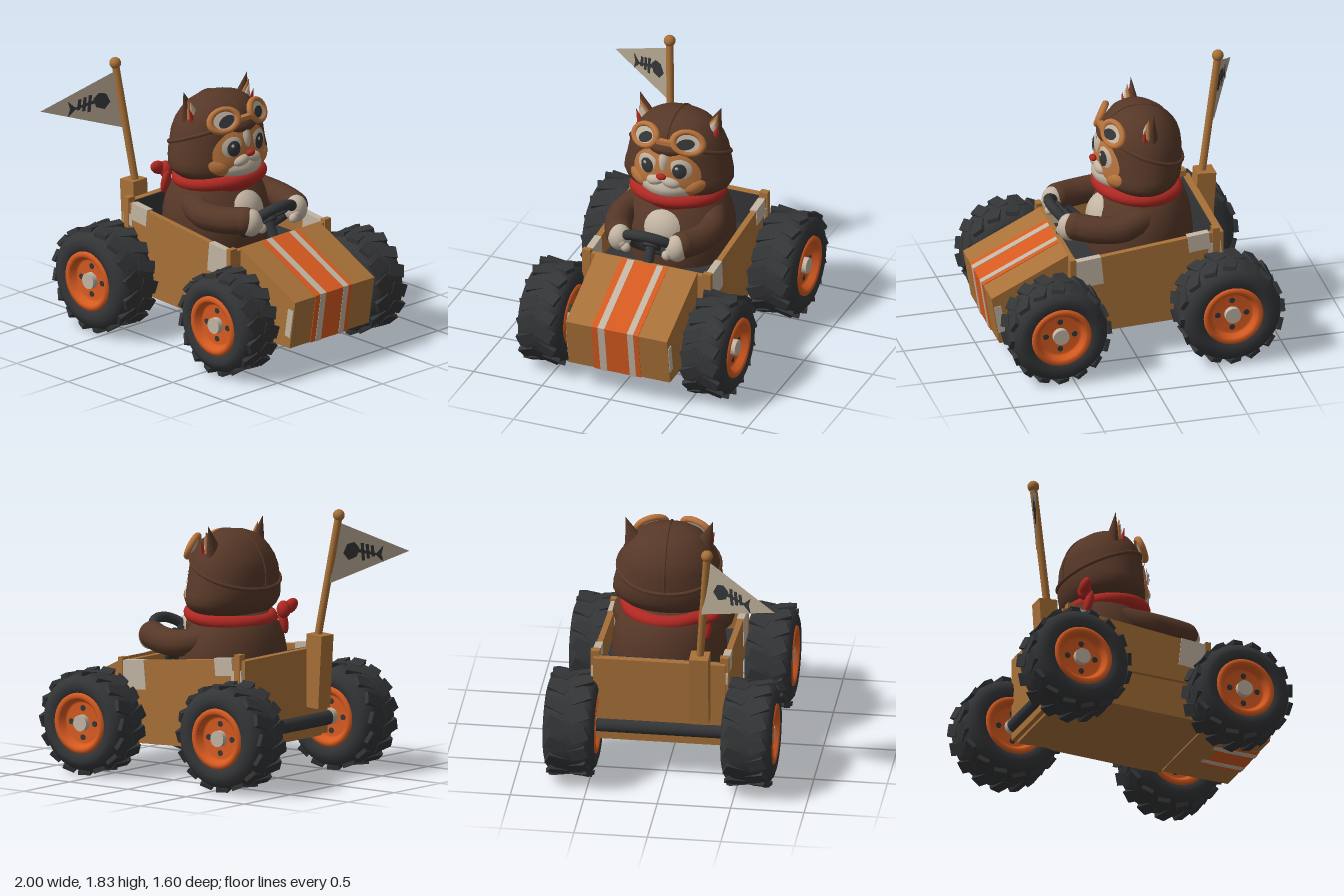
import * as THREE from 'three';

const mat = (name, color, side = THREE.FrontSide) => {
  const m = new THREE.MeshStandardMaterial({ color });
  m.name = name; m.side = side;
  return m;
};
const CZ = -0.03; // centre line of the driver

export function createModel() {
  const card = mat('cardboard', 0xa87138), brown = mat('brown fur suit', 0x573828);
  const dark = mat('dark rubber', 0x343537), orange = mat('orange paint', 0xd65a20);
  const cream = mat('cream', 0xc2b4a2), red = mat('red cloth', 0xb02822);
  const fur = mat('ginger fur', 0xb8733c), cloth = mat('flag cloth', 0xb5a792, THREE.DoubleSide);
  const root = new THREE.Group();

  const add = (name, geo, m, p = [0, 0, 0], r = [0, 0, 0], s = [1, 1, 1], parent = root) => {
    const o = new THREE.Mesh(geo, m);
    o.name = name; o.position.set(...p); o.rotation.set(...r); o.scale.set(...s);
    parent.add(o);
    return o;
  };
  const box = (name, x, y, z, m, p, r, parent) => add(name, new THREE.BoxGeometry(x, y, z), m, p, r, undefined, parent);
  const ball = (name, m, p, s, r) => add(name, new THREE.SphereGeometry(1, 32, 20), m, p, r, s);
  const v = (a) => new THREE.Vector3(...a);
  const tube = (name, pts, rad, m, closed = false) =>
    add(name, new THREE.TubeGeometry(new THREE.CatmullRomCurve3(pts.map(v), closed), 48, rad, 12, closed), m);
  // side profile in x and y, extruded from z0 to z1
  const slab = (name, pts, z0, z1, m, parent = root) => {
    const shape = new THREE.Shape(pts.map((p) => new THREE.Vector2(...p)));
    return add(name, new THREE.ExtrudeGeometry(shape, { depth: z1 - z0, bevelEnabled: false }), m, [0, 0, z0], undefined, undefined, parent);
  };
  const mesh = (pos, idx) => {
    const g = new THREE.BufferGeometry();
    g.setAttribute('position', new THREE.Float32BufferAttribute(pos, 3));
    g.setIndex(idx); g.computeVertexNormals();
    return g;
  };
  // stacked elliptic sections [y, cx, rx, rz]
  const loft = (rings, n = 48) => {
    const pos = [], idx = [];
    rings.forEach(([y, cx, rx, rz], j) => {
      for (let i = 0; i < n; i++) {
        const a = (i / n) * Math.PI * 2, k = j * n + i, l = j * n + ((i + 1) % n);
        pos.push(cx + rx * Math.cos(a), y, CZ + rz * Math.sin(a));
        if (j < rings.length - 1) idx.push(k, k + n, l, l, k + n, l + n);
      }
    });
    return mesh(pos, idx);
  };

  // Cart body
  slab('lowerBody', [[-0.57, 0.25], [0.47, 0.21], [0.47, 0.48], [-0.57, 0.52]], -0.47, 0.39, card);
  for (const [z, side] of [[0.38, 'left'], [-0.5, 'right']]) {
    slab(side + 'Wall', [[-0.57, 0.5], [0.46, 0.47], [0.46, 0.77], [-0.57, 0.88]], z, z + 0.04, card);
    const c = z + 0.02;
    box('rearTape', 0.15, 0.12, 0.05, cream, [-0.43, 0.815, c], [0, 0, -0.1]);
    box('rearTapeLower', 0.09, 0.08, 0.05, cream, [-0.54, 0.76, c], [0, 0, -0.1]);
    box('frontTape', 0.21, 0.2, 0.05, cream, [0.35, 0.685, c], [0, 0, -0.1]);
    box('cornerPost', 0.05, 0.4, 0.06, card, [-0.55, 0.71, c]);
    box('cornerPost', 0.04, 0.32, 0.06, card, [0.45, 0.635, c]);
  }
  box('rearWall', 0.05, 0.6, 0.9, card, [-0.58, 0.57, -0.04]);
  box('dashWall', 0.04, 0.3, 0.88, card, [0.44, 0.62, -0.04]);
  box('cockpitFloor', 0.96, 0.06, 0.84, dark, [-0.06, 0.6, -0.04]);
  box('rearLining', 0.01, 0.3, 0.84, dark, [-0.548, 0.72, -0.04]);

  // Hood with painted stripes
  slab('hood', [[0.46, 0.2], [0.94, 0.19], [0.995, 0.53], [0.46, 0.79]], -0.41, 0.33, card);
  const stripe = (name, o, z0, z1, m) => slab(name,
    [[0.47, 0.21], [0.74, 0.195 - o], [0.94 + o, 0.19 - o], [0.995 + o, 0.53 + o], [0.47, 0.785 + o]], z0, z1, m);
  stripe('orangeStripe', 0.004, -0.2, 0.14, orange);
  stripe('paleStripe', 0.007, 0.045, 0.095, cream);
  stripe('paleStripe', 0.007, -0.165, -0.12, cream);
  for (const z of [0.31, -0.39]) box('hoodTape', 0.05, 0.2, 0.05, cream, [0.938, 0.37, z], [0, 0, -0.16]);

  // Wheels
  const wheel = (x, y, z, w, R) => {
    const g = new THREE.Group();
    g.name = 'wheel'; g.position.set(x, y, z); g.rotation.x = Math.PI / 2;
    root.add(g);
    const h = w / 2, lathe = (half) => new THREE.LatheGeometry(
      [...half, ...half.slice().reverse().map(([a, b]) => [a, -b])].map((p) => new THREE.Vector2(...p)), 56);
    add('tyre', lathe([[0.2, -h + 0.03], [0.215, -h + 0.008], [0.26, -h], [R - 0.06, -h + 0.012], [R - 0.025, -h + 0.04], [R - 0.01, -h + 0.09]]),
      dark, undefined, undefined, undefined, g);
    add('rim', lathe([[0.001, -h + 0.055], [0.135, -h + 0.055], [0.15, -h + 0.045], [0.165, -h + 0.01], [0.18, -h], [0.205, -h + 0.004], [0.21, -h + 0.03]]),
      orange, undefined, undefined, undefined, g);
    add('hub', new THREE.CylinderGeometry(0.055, 0.055, w - 0.03, 24), cream, undefined, undefined, undefined, g);
    for (let i = 0; i < 4; i++) {
      const a = (i * Math.PI) / 2;
      add('boltHole', new THREE.CylinderGeometry(0.02, 0.02, w - 0.1, 12), dark, [0.1 * Math.cos(a), 0, 0.1 * Math.sin(a)], undefined, undefined, g);
    }
    // angled tread lugs
    for (let i = 0; i < 32; i++) {
      const s = i % 2 ? 1 : -1, pivot = new THREE.Group();
      pivot.name = 'treadLug'; pivot.rotation.y = (i / 32) * Math.PI * 2;
      g.add(pivot);
      box('lug', 0.03, w * 0.37, 0.085, dark, [R - 0.016, s * w * 0.22, 0], [s * 0.4, 0, -s * 0.1], pivot);
    }
  };
  wheel(-0.595, 0.375, 0.585, 0.35, 0.36);
  wheel(-0.595, 0.375, -0.625, 0.35, 0.36);
  wheel(0.6, 0.36, 0.575, 0.32, 0.35);
  wheel(0.6, 0.36, -0.62, 0.32, 0.35);
  for (const x of [-0.595, 0.6]) add('axle', new THREE.CylinderGeometry(0.05, 0.05, 1.1, 20), dark, [x, 0.37, -0.02], [Math.PI / 2, 0, 0]);

  // Flag pole and pennant
  box('poleSocket', 0.13, 0.5, 0.13, card, [-0.655, 0.72, 0.245], [0, 0, 0.06]);
  tube('flagPole', [[-0.64, 0.88, 0.24], [-0.71, 1.33, 0.275], [-0.78, 1.78, 0.31]], 0.026, card);
  ball('poleKnob', card, [-0.78, 1.785, 0.31], [0.04, 0.04, 0.04]);
  const flag = new THREE.Group();
  flag.name = 'flag'; flag.position.set(-0.76, 1.52, 0.31); flag.rotation.y = Math.atan2(-0.49, -0.24);
  root.add(flag);
  add('pennant', mesh([0, 0.22, 0, -0.05, -0.2, 0, 0.545, -0.02, 0], [0, 1, 2]), cloth, undefined, undefined, undefined, flag);
  const bone = (pts) => slab('fishBone', pts, -0.004, 0.004, dark, flag);
  bone([[0.05, 0.0], [0.08, 0.06], [0.13, 0.07], [0.17, 0.03], [0.15, -0.03], [0.09, -0.05]]);
  bone([[0.15, 0.025], [0.31, -0.02], [0.31, -0.035], [0.15, 0.0]]);
  bone([[0.29, -0.025], [0.35, 0.03], [0.335, -0.025], [0.35, -0.08]]);
  for (let i = 0; i < 3; i++) {
    const x = 0.19 + i * 0.037, l = 0.06 - i * 0.011;
    bone([[x, -l], [x + 0.022, -l], [x + 0.012, l], [x - 0.01, l]]);
  }

  // Driver torso, arms, paws
  add('torso', loft([[0.6, -0.14, 0.35, 0.37], [0.72, -0.14, 0.36, 0.39], [0.85, -0.14, 0.35, 0.385], [0.95, -0.15, 0.32, 0.36],
    [1.03, -0.16, 0.28, 0.32], [1.1, -0.16, 0.23, 0.27], [1.15, -0.16, 0.16, 0.2]]), brown);
  ball('belly', cream, [0.08, 0.86, CZ], [0.15, 0.17, 0.17]);
  for (const s of [1, -1]) {
    tube('arm', [[-0.14, 0.95, CZ + s * 0.25], [0.06, 0.91, CZ + s * 0.32], [0.24, 0.91, CZ + s * 0.29], [0.37, 0.925, CZ + s * 0.23]], 0.093, brown);
    ball('cuff', brown, [0.37, 0.925, CZ + s * 0.23], [0.093, 0.093, 0.093]);
    ball('paw', cream, [0.405, 0.915, CZ + s * 0.21], [0.08, 0.095, 0.08]);
    for (let i = 0; i < 3; i++) ball('toe', cream, [0.45, 0.87 + i * 0.028, CZ + s * (0.15 + i * 0.03)], [0.03, 0.035, 0.035]);
  }

  // Steering wheel
  const steer = new THREE.Group();
  steer.name = 'steeringWheel'; steer.position.set(0.35, 0.88, CZ);
  root.add(steer);
  steer.lookAt(0.35 - 0.67, 0.88 + 0.74, CZ);
  add('steeringRim', new THREE.TorusGeometry(0.185, 0.035, 14, 40), dark, undefined, undefined, undefined, steer);
  for (const a of [0, 2.1, 4.2]) box('spoke', 0.04, 0.18, 0.03, dark, [Math.sin(a) * 0.09, -Math.cos(a) * 0.09, 0], [0, 0, a], steer);
  add('steeringHub', new THREE.CylinderGeometry(0.06, 0.06, 0.06, 24), dark, undefined, [Math.PI / 2, 0, 0], undefined, steer);
  tube('steeringColumn', [[0.35, 0.88, CZ], [0.39, 0.8, CZ], [0.43, 0.72, CZ]], 0.035, dark);

  // Head in a leather cap
  const head = [[1.08, -0.13, 0.16, 0.2], [1.12, -0.13, 0.23, 0.31], [1.16, -0.13, 0.26, 0.365], [1.2, -0.135, 0.273, 0.385], [1.25, -0.14, 0.278, 0.38],
    [1.3, -0.145, 0.278, 0.367], [1.42, -0.145, 0.272, 0.343], [1.49, -0.14, 0.257, 0.316], [1.55, -0.135, 0.228, 0.278],
    [1.6, -0.13, 0.19, 0.235], [1.635, -0.13, 0.14, 0.185], [1.66, -0.13, 0.08, 0.11], [1.67, -0.13, 0.005, 0.005]];
  add('cap', loft(head), brown);
  const section = (y) => {
    const j = Math.max(0, Math.min(head.length - 2, head.findIndex((r) => r[0] > y) - 1));
    const t = (y - head[j][0]) / (head[j + 1][0] - head[j][0]);
    return head[j].map((q, k) => q + (head[j + 1][k] - q) * t);
  };
  const frontX = (y, z) => {
    const [, cx, rx, rz] = section(y);
    return cx + rx * Math.sqrt(Math.max(0, 1 - (z / rz) ** 2));
  };
  // domed oval lying on the front of the head
  const patch = (name, z, y, rz, ry, lift, bulge, m, tilt = 0) => {
    const pos = [], idx = [], n = 36, rows = 10;
    for (let j = 0; j <= rows; j++) for (let i = 0; i < n; i++) {
      const a = (i / n) * Math.PI * 2, t = j / rows, p = t * rz * Math.sin(a), q = t * ry * Math.cos(a);
      const zz = z + p * Math.cos(tilt) - q * Math.sin(tilt), yy = y + p * Math.sin(tilt) + q * Math.cos(tilt);
      pos.push(frontX(yy, zz) + lift + bulge * (1 - t * t), yy, CZ + zz);
      const k = j * n + i, l = j * n + ((i + 1) % n);
      if (j < rows) idx.push(k, k + n, l + n, k, l + n, l);
    }
    add(name, mesh(pos, idx), m);
  };
  patch('face', 0, 1.3, 0.245, 0.19, 0.004, 0.03, fur);
  patch('chin', 0, 1.19, 0.18, 0.1, 0.004, 0.05, cream);
  patch('blaze', 0, 1.4, 0.035, 0.09, 0.02, 0.02, cream);
  patch('capPeak', 0, 1.5, 0.13, 0.05, 0.02, 0.02, brown);
  for (const s of [1, -1]) {
    patch('eyeWhite', s * 0.115, 1.36, 0.08, 0.075, 0.022, 0.014, cream, s * 0.2);
    patch('eye', s * 0.118, 1.355, 0.048, 0.055, 0.034, 0.01, dark);
    patch('eyeGlint', s * 0.118 + 0.015, 1.378, 0.012, 0.012, 0.044, 0.005, cream);
    patch('cheekTuft', s * 0.2, 1.22, 0.08, 0.05, 0.004, 0.02, fur, s * 0.5);
    ball('muzzle', cream, [0.135, 1.262, CZ + s * 0.05], [0.055, 0.045, 0.075], [s * 0.25, 0, 0]);
    // ears
    const ear = (name, m, rad, hgt, dx, dy, dz, sx) => add(name, new THREE.ConeGeometry(rad, hgt, 24),
      m, [-0.16 + dx, 1.57 + dy, CZ + s * (0.245 + dz)], [s * 0.32, 0, 0], [sx, 1, 1]);
    ear('ear', brown, 0.115, 0.33, 0, 0, 0, 0.62);
    ear('earRim', fur, 0.09, 0.25, 0.03, 0, 0, 0.55);
    ear('innerEar', cream, 0.07, 0.2, 0.045, -0.005, 0, 0.55);
    ear('earBlush', red, 0.034, 0.14, 0.06, -0.01, 0.035, 0.6);
    // goggles
    const g = new THREE.Group(), p = [0.085, 1.55, CZ + s * 0.155];
    g.name = 'goggle'; g.position.set(...p);
    g.lookAt(p[0] + 1, p[1] + 0.45, p[2] + s * 0.45);
    g.rotateZ(-s * -0.2);
    g.scale.set(1.15, 0.85, 1);
    root.add(g);
    add('goggleRim', new THREE.TorusGeometry(0.088, 0.022, 14, 36), fur, undefined, undefined, undefined, g);
    add('goggleLens', new THREE.CylinderGeometry(0.085, 0.085, 0.02, 32), cream, [0, 0, 0], [Math.PI / 2, 0, 0], undefined, g);
    add('lensReflection', new THREE.CircleGeometry(0.055, 20), dark, [s * 0.012, -0.015, 0.013], [0, 0, 0.6], [1.05, 0.75, 1], g);
  }
  ball('nose', red, [0.185, 1.308, CZ], [0.024, 0.022, 0.036]);
  box('goggleBridge', 0.04, 0.03, 0.12, fur, [0.125, 1.545, CZ]);

  // strap and seam following the cap
  const strap = [], seam = [];
  for (let i = 0; i < 32; i++) {
    const a = (i / 32) * Math.PI * 2, y = 1.4 + 0.11 * Math.cos(a), [, cx, rx, rz] = section(y);
    strap.push([cx + rx * Math.cos(a), y, CZ + rz * Math.sin(a)]);
  }
  tube('goggleStrap', strap, 0.014, brown, true);
  for (let y = 1.3; y < 1.665; y += 0.04) { const [, cx, rx] = section(y); seam.push([cx - rx, y, CZ]); }
  for (let y = 1.66; y > 1.5; y -= 0.04) { const [, cx, rx] = section(y); seam.push([cx + rx, y, CZ]); }
  tube('capSeam', seam, 0.008, brown);

  // Neckerchief
  add('scarf', new THREE.TorusGeometry(0.26, 0.05, 16, 48), red, [-0.12, 1.085, CZ], [Math.PI / 2, 0.1, 0], [1, 1.08, 1]);
  add('scarfFront', new THREE.ConeGeometry(0.25, 0.2, 32), red, [0.01, 1.0, CZ], [Math.PI, 0, 0], [0.7, 1, 1]);
  ball('scarfKnot', red, [-0.37, 1.11, 0.23], [0.05, 0.06, 0.045]);
  ball('scarfTail', red, [-0.35, 1.03, 0.25], [0.03, 0.09, 0.035], [0, 0, -0.25]);
  ball('scarfTail', red, [-0.39, 1.13, 0.28], [0.035, 0.045, 0.07], [-0.4, 0, 0]);
  return root;
}
